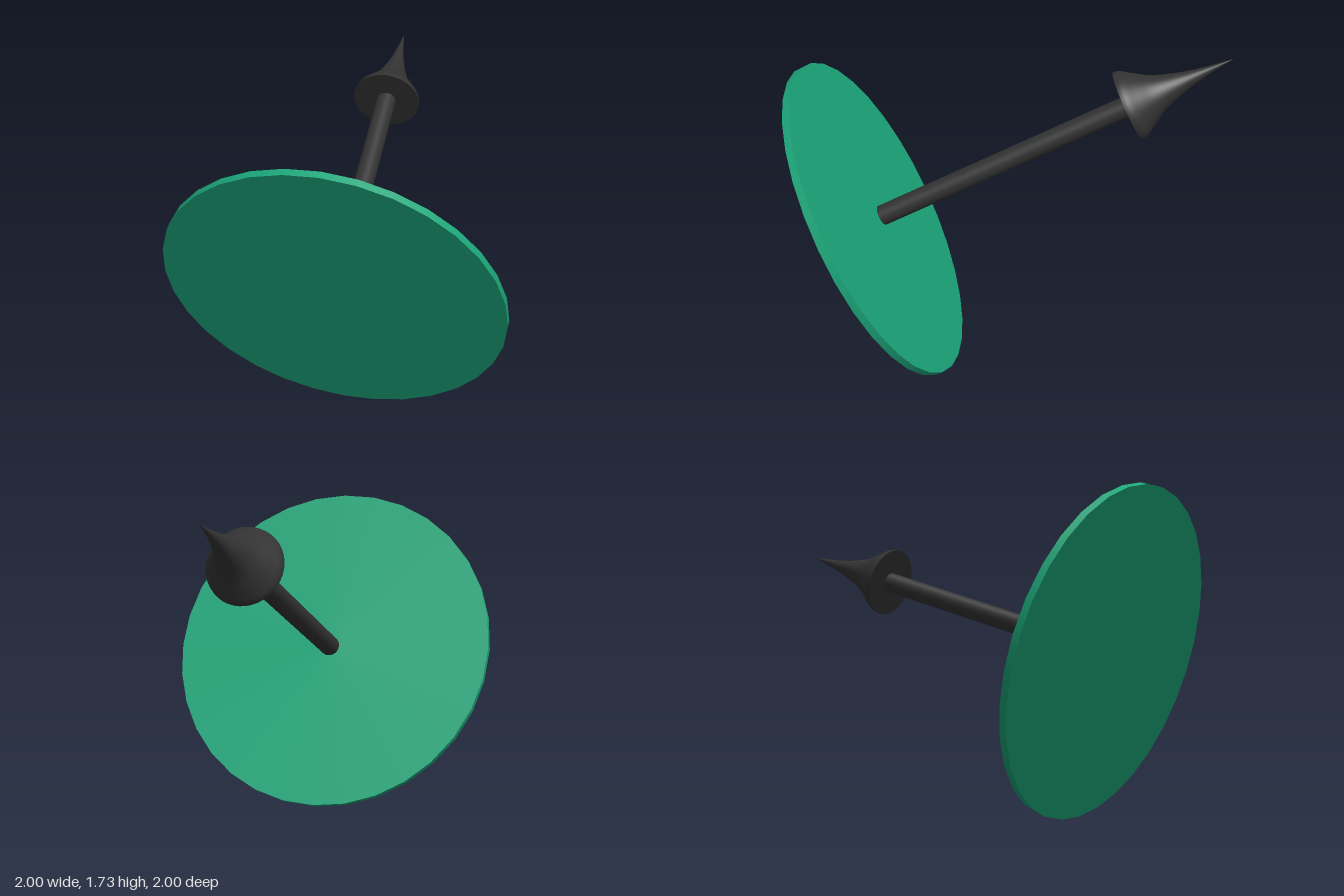
import * as THREE from 'three';

const green = new THREE.MeshStandardMaterial({ color: 0x1ba578 });
const dark = new THREE.MeshStandardMaterial({ color: 0x333333 });

const UP = new THREE.Vector3(0, 1, 0);
const center = new THREE.Vector3(-0.32, 0.797, 0.247);
const tip = new THREE.Vector3(0.995, 1.732, -1);
const discNormal = new THREE.Vector3(0.668, 0.477, -0.571).normalize();

const R_SHAFT = 0.055;
const HEAD_LENGTH = 0.58;

function createModel() {
  const model = new THREE.Group();

  // thin round plate, leaning slightly off the arrow's axis
  const disc = new THREE.Mesh(new THREE.CylinderGeometry(0.9, 0.9, 0.04, 32), green);
  disc.name = 'disc';
  disc.position.copy(center);
  disc.quaternion.setFromUnitVectors(UP, discNormal);
  model.add(disc);

  // arrow standing on the plate, built along its local y axis
  const axis = tip.clone().sub(center);
  const length = axis.length();
  const arrow = new THREE.Group();
  arrow.name = 'arrow';
  arrow.position.copy(center);
  arrow.quaternion.setFromUnitVectors(UP, axis.normalize());
  model.add(arrow);

  // shaft, from the plate into the head
  const shaftLength = length - HEAD_LENGTH + 0.02;
  const shaft = new THREE.Mesh(
    new THREE.CylinderGeometry(R_SHAFT, R_SHAFT, shaftLength, 32), dark);
  shaft.name = 'shaft';
  shaft.position.y = shaftLength / 2;
  arrow.add(shaft);

  // head with flared rim and concave sides running to a sharp point
  const flare = new THREE.SplineCurve([
    [0.19, 0], [0.183, 0.03], [0.148, 0.085], [0.097, 0.17],
    [0.052, 0.3], [0.023, 0.43], [0, HEAD_LENGTH],
  ].map(([r, y]) => new THREE.Vector2(r, y)));
  const profile = flare.getPoints(24).map(p => new THREE.Vector2(Math.max(p.x, 0), p.y));
  const head = new THREE.Mesh(new THREE.LatheGeometry(profile, 40), dark);
  head.name = 'arrowHead';
  head.position.y = length - HEAD_LENGTH;
  arrow.add(head);

  // flat underside of the head
  const base = new THREE.Mesh(new THREE.CircleGeometry(0.19, 40), dark);
  base.name = 'arrowHeadBase';
  base.rotation.x = Math.PI / 2;
  base.position.y = length - HEAD_LENGTH;
  arrow.add(base);

  return model;
}

export { createModel };
